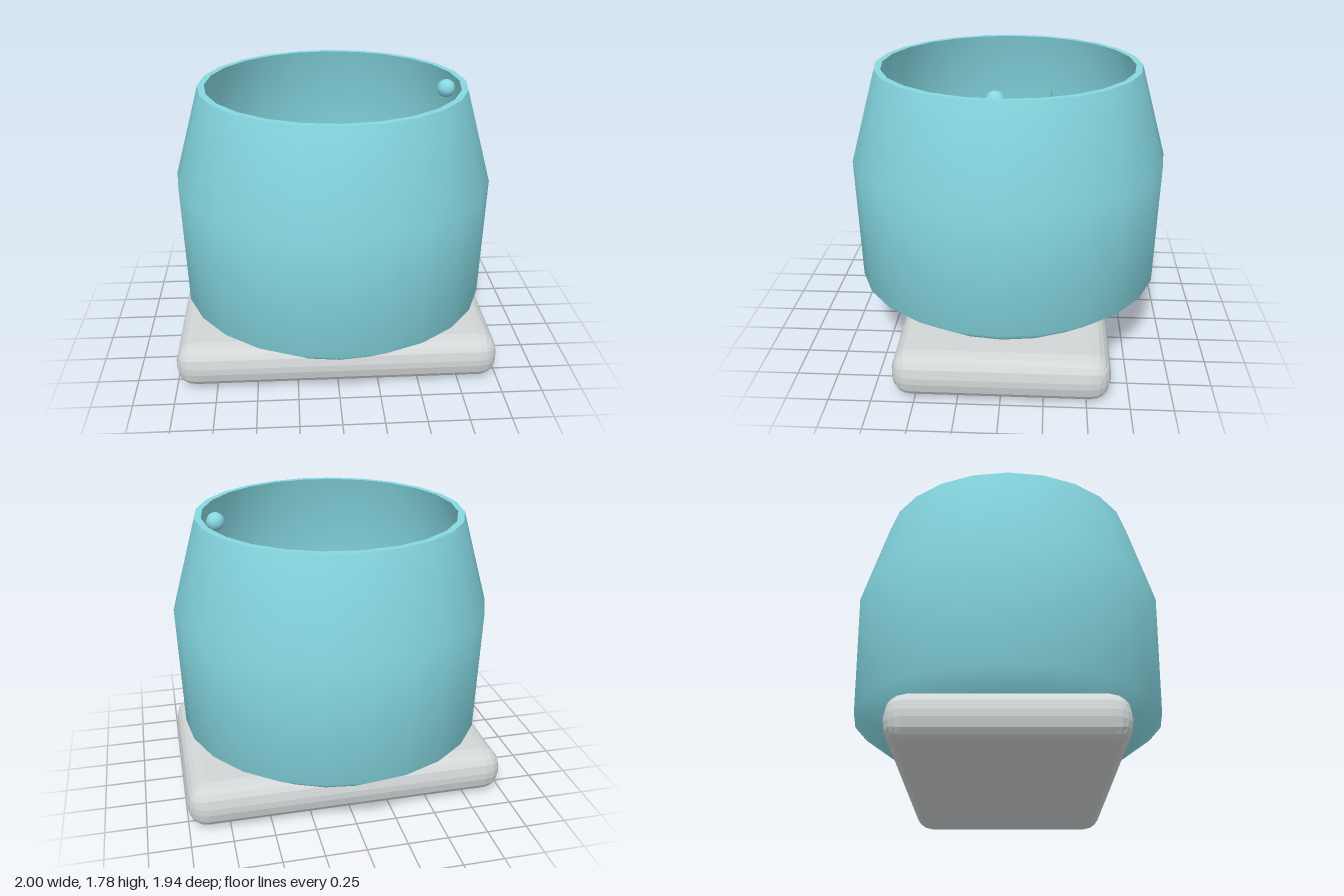
import * as THREE from 'three';
import { RoundedBoxGeometry } from 'three/addons/geometries/RoundedBoxGeometry.js';

const material = (name, color, extra = {}) => {
  const m = new THREE.MeshStandardMaterial({ color, ...extra });
  m.name = name;
  return m;
};

export function createModel() {
  const glass = material('aqua glass', 0x86d8e2);
  const stone = material('pale grey', 0xd2d6d7, { flatShading: true });
  const orange = material('fish orange', 0xe6ab40);
  const green = material('leaf green', 0x86cc60, { flatShading: true });

  const model = new THREE.Group();
  model.name = 'fishBowl';
  const add = (parent, name, geometry, mat, x = 0, y = 0, z = 0) => {
    const mesh = new THREE.Mesh(geometry, mat);
    mesh.name = name;
    mesh.position.set(x, y, z);
    parent.add(mesh);
    return mesh;
  };
  const ellipsoid = (rx, ry, rz, w = 20, h = 14) =>
    new THREE.SphereGeometry(1, w, h).scale(rx, ry, rz);

  // Faceted plinth
  add(model, 'base', new RoundedBoxGeometry(2, 0.28, 1.28, 2, 0.12), stone, 0, 0.14, 0);

  // Open-ended bowl: outer wall, rim, inner wall and lower lip
  const bowl = new THREE.Group();
  bowl.name = 'bowl';
  model.add(bowl);
  const walls = {
    outerWall: [[0.7, 0.245], [0.95, 0.43], [0.97, 1.2], [0.81, 1.76]],
    rim: [[0.81, 1.76], [0.77, 1.76]],
    innerWall: [[0.77, 1.76], [0.94, 1.2], [0.92, 0.45], [0.67, 0.26]],
    lowerLip: [[0.67, 0.26], [0.7, 0.245]],
  };
  for (const [name, profile] of Object.entries(walls)) {
    const points = profile.map(([r, y]) => new THREE.Vector2(r, y));
    add(bowl, name, new THREE.LatheGeometry(points, 24), glass);
  }

  // Fish, facing +x
  const fish = new THREE.Group();
  fish.name = 'fish';
  fish.position.set(0.09, 0.92, 0.12);
  model.add(fish);
  add(fish, 'body', ellipsoid(0.43, 0.27, 0.17, 24, 16), orange);
  const plate = (corners, depth) => new THREE.ExtrudeGeometry(
    new THREE.Shape(corners.map(([x, y]) => new THREE.Vector2(x, y))),
    { depth, bevelEnabled: false }).translate(0, 0, -depth / 2);
  add(fish, 'tail', plate([[-0.34, 0], [-0.72, 0.24], [-0.72, -0.24]], 0.085), orange);
  add(fish, 'topFin', plate([[-0.15, 0.2], [0.15, 0.2], [0.02, 0.44]], 0.075), stone);
  add(fish, 'mouth', new THREE.TorusGeometry(0.05, 0.03, 8, 16).rotateY(Math.PI / 2), orange, 0.43);
  for (const side of [-1, 1]) {
    add(fish, 'sideFin', ellipsoid(0.19, 0.1, 0.04), stone, -0.04, -0.02, side * 0.18);
    add(fish, 'eye', ellipsoid(0.05, 0.05, 0.02), glass, 0.26, 0.07, side * 0.165);
  }

  // Slender water plants
  for (const x of [-0.69, -0.465]) {
    const leaf = new THREE.OctahedronGeometry(1).scale(0.115, 0.57, 0.042);
    add(model, 'leaf', leaf, green, x, 0.84, -0.265);
  }

  // Rising bubbles
  for (let i = 0; i < 3; i++) {
    add(model, 'bubble', new THREE.SphereGeometry(0.055, 16, 12), glass,
      0.49 + i * 0.097, 1.28 + i * 0.222, 0.035);
  }
  return model;
}
